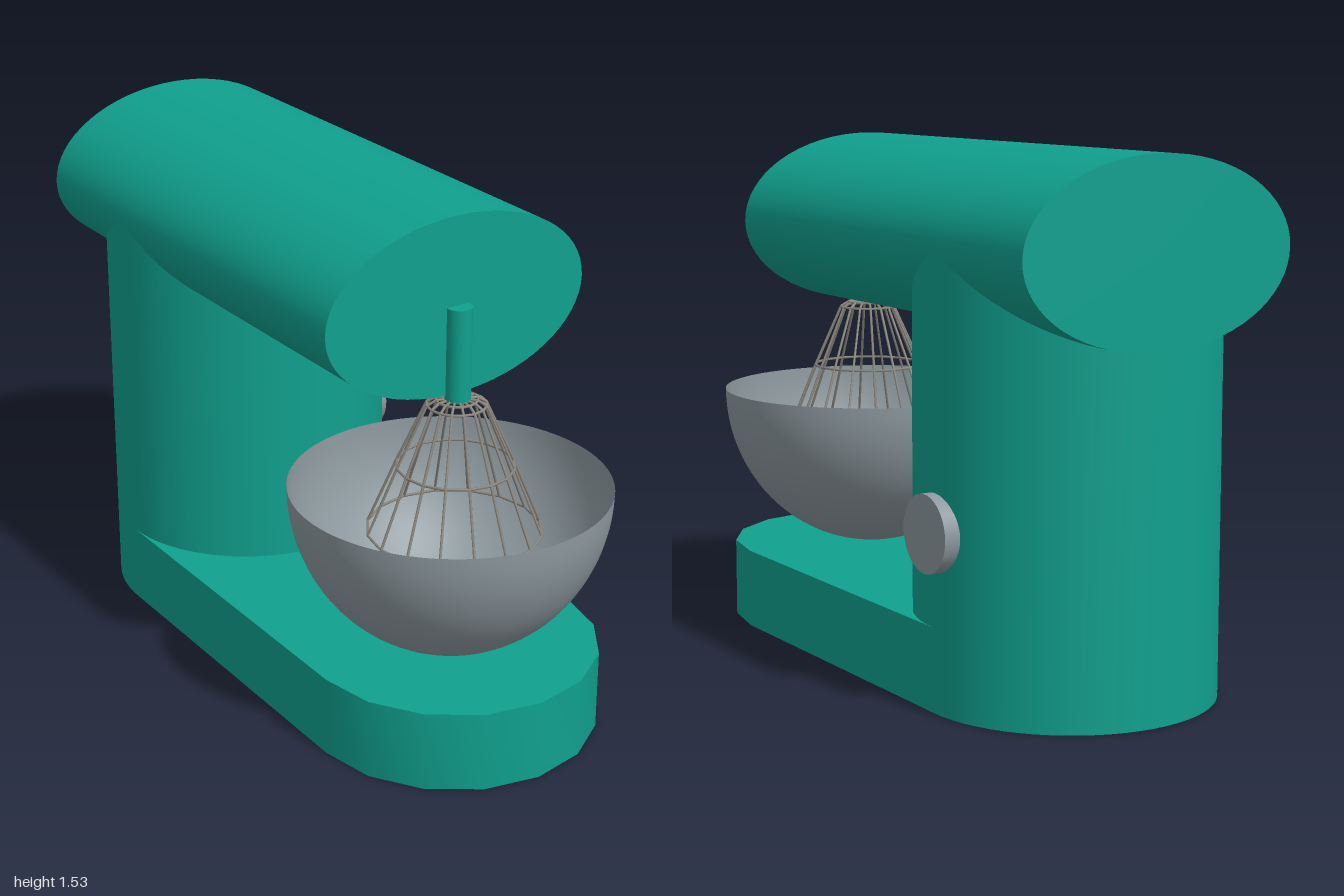
import * as THREE from 'three';
import { toCreasedNormals } from 'three/addons/utils/BufferGeometryUtils.js';

export function createModel() {
  const model = new THREE.Group();
  const paint = (name, color, side = THREE.FrontSide) => {
    const m = new THREE.MeshStandardMaterial({ color, side });
    m.name = name;
    return m;
  };
  const teal = paint('teal enamel', 0x10a08e);
  const steel = paint('brushed steel', 0x8d999f);
  const bowlSteel = paint('bowl steel', 0x8d999f, THREE.DoubleSide);
  bowlSteel.color = steel.color;
  const wire = paint('whisk wire', 0x8c877f);

  const add = (name, geometry, material, x = 0, y = 0, z = 0, parent = model) => {
    const mesh = new THREE.Mesh(geometry, material);
    mesh.name = name;
    mesh.position.set(x, y, z);
    parent.add(mesh);
    return mesh;
  };

  const R = 0.43, backZ = -0.57, frontZ = 0.555;

  // Base: a slab with round ends
  const outline = new THREE.Shape();
  outline.absarc(0, -frontZ, R, Math.PI, Math.PI * 2, false);
  outline.absarc(0, -backZ, R, 0, Math.PI, false);
  outline.closePath();
  const slab = new THREE.ExtrudeGeometry(outline, { depth: 0.24, bevelEnabled: false, curveSegments: 4 });
  slab.rotateX(-Math.PI / 2);
  add('base', toCreasedNormals(slab, 0.6), teal);

  // Column, ending inside the head
  add('column', new THREE.CylinderGeometry(R, R, 1.27, 64), teal, 0, 0.635, backZ);

  // Head: an elliptical cylinder lying along z
  const headGeo = new THREE.CylinderGeometry(1, 1, 1.555, 64);
  headGeo.rotateX(Math.PI / 2);
  headGeo.scale(R, 0.26, 1);
  add('head', headGeo, teal, 0, 1.275, -0.2225);

  // Drive shaft at the front of the head
  add('driveShaft', new THREE.CylinderGeometry(0.037, 0.037, 0.275, 24), teal, 0, 1.1375, 0.563);

  // Control knob on the left flank
  const knobGeo = new THREE.CylinderGeometry(0.11, 0.11, 0.06, 40);
  knobGeo.rotateZ(-Math.PI / 2);
  add('knob', knobGeo, steel, 0.432, 0.505, backZ);

  // Bowl: lower half of a thin ellipsoid
  const bowlProfile = [];
  for (let i = 0; i <= 24; i++) {
    const a = (i / 24) * Math.PI / 2;
    bowlProfile.push(new THREE.Vector2(0.463 * Math.sin(a), 0.492 * (1 - Math.cos(a))));
  }
  add('bowl', new THREE.LatheGeometry(bowlProfile, 64), bowlSteel, 0, 0.24, 0.537);

  // Whisk: sixteen bent wires tied by rings
  const whisk = new THREE.Group();
  whisk.name = 'whisk';
  whisk.position.set(0, 0, 0.56);
  model.add(whisk);
  const wireR = 0.004, wires = 16;
  const profile = [[0.03, 1.002], [0.06, 1.0], [0.085, 0.985], [0.168, 0.8], [0.25, 0.6]];
  const rod = (a, b) => {
    const geo = new THREE.CylinderGeometry(wireR, wireR, a.distanceTo(b), 6);
    const mesh = add('whiskWire', geo, wire, 0, 0, 0, whisk);
    mesh.position.lerpVectors(a, b, 0.5);
    mesh.quaternion.setFromUnitVectors(new THREE.Vector3(0, 1, 0), b.clone().sub(a).normalize());
  };
  for (let i = 0; i < wires; i++) {
    const t = (i / wires) * Math.PI * 2;
    const pts = profile.map(([r, y]) => new THREE.Vector3(r * Math.sin(t), y, r * Math.cos(t)));
    for (let j = 1; j < pts.length; j++) rod(pts[j - 1], pts[j]);
  }
  for (const [r, y] of profile.slice(1)) {
    const ring = new THREE.TorusGeometry(r, wireR, 6, wires);
    ring.rotateX(Math.PI / 2);
    ring.rotateY(Math.PI / 2);
    add('whiskRing', ring, wire, 0, y, 0, whisk);
  }

  return model;
}
